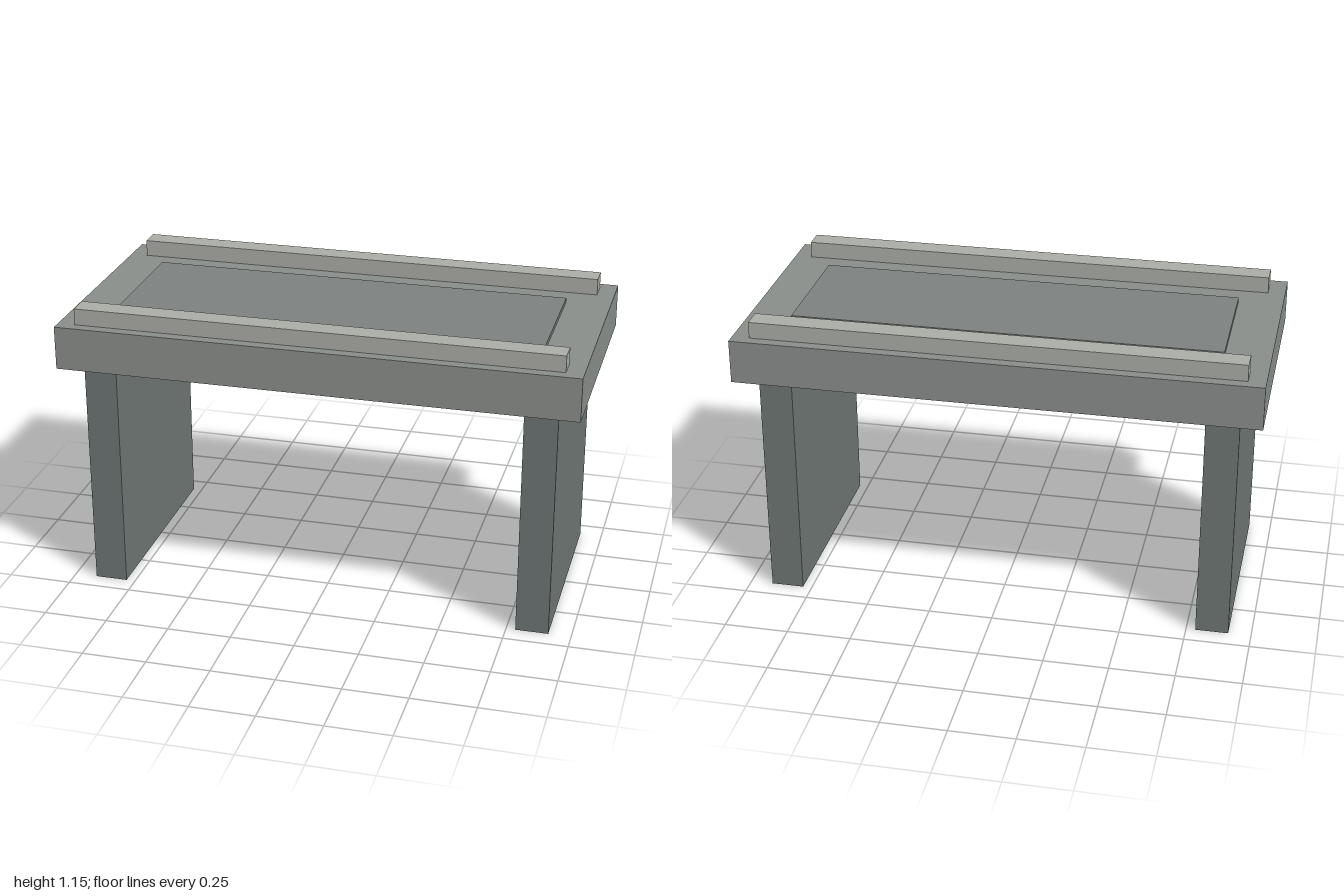
import * as THREE from 'three';

export function createModel() {
  const model = new THREE.Group();
  model.name = 'table';

  const material = (color) => new THREE.MeshStandardMaterial({ color });
  const legMaterial = material(0x6d7573);
  const topMaterial = material(0x898d8a);
  const railMaterial = material(0xaaaca6);
  const panelMaterial = material(0x7c817f);

  // Box centred on x and z, spanning bottom to top in y
  const addBox = (name, mat, width, bottom, top, depth, x = 0, z = 0) => {
    const mesh = new THREE.Mesh(new THREE.BoxGeometry(width, top - bottom, depth), mat);
    mesh.name = name;
    mesh.position.set(x, (bottom + top) / 2, z);
    model.add(mesh);
  };

  // Table top slab and the thin raised panel on it
  addBox('tableTop', topMaterial, 2, 0.919, 1.088, 0.98);
  addBox('inlayPanel', panelMaterial, 1.655, 1.088, 1.105, 0.51);

  for (const [side, s] of [['left', 1], ['right', -1]]) {
    // Slab legs
    addBox(`${side}Leg`, legMaterial, 0.127, 0, 0.919, 0.85, s * 0.849);
  }
  for (const [side, s] of [['front', 1], ['back', -1]]) {
    // Rails along the long edges
    addBox(`${side}Rail`, railMaterial, 1.866, 1.088, 1.152, 0.085, 0, s * 0.405);
  }

  return model;
}
